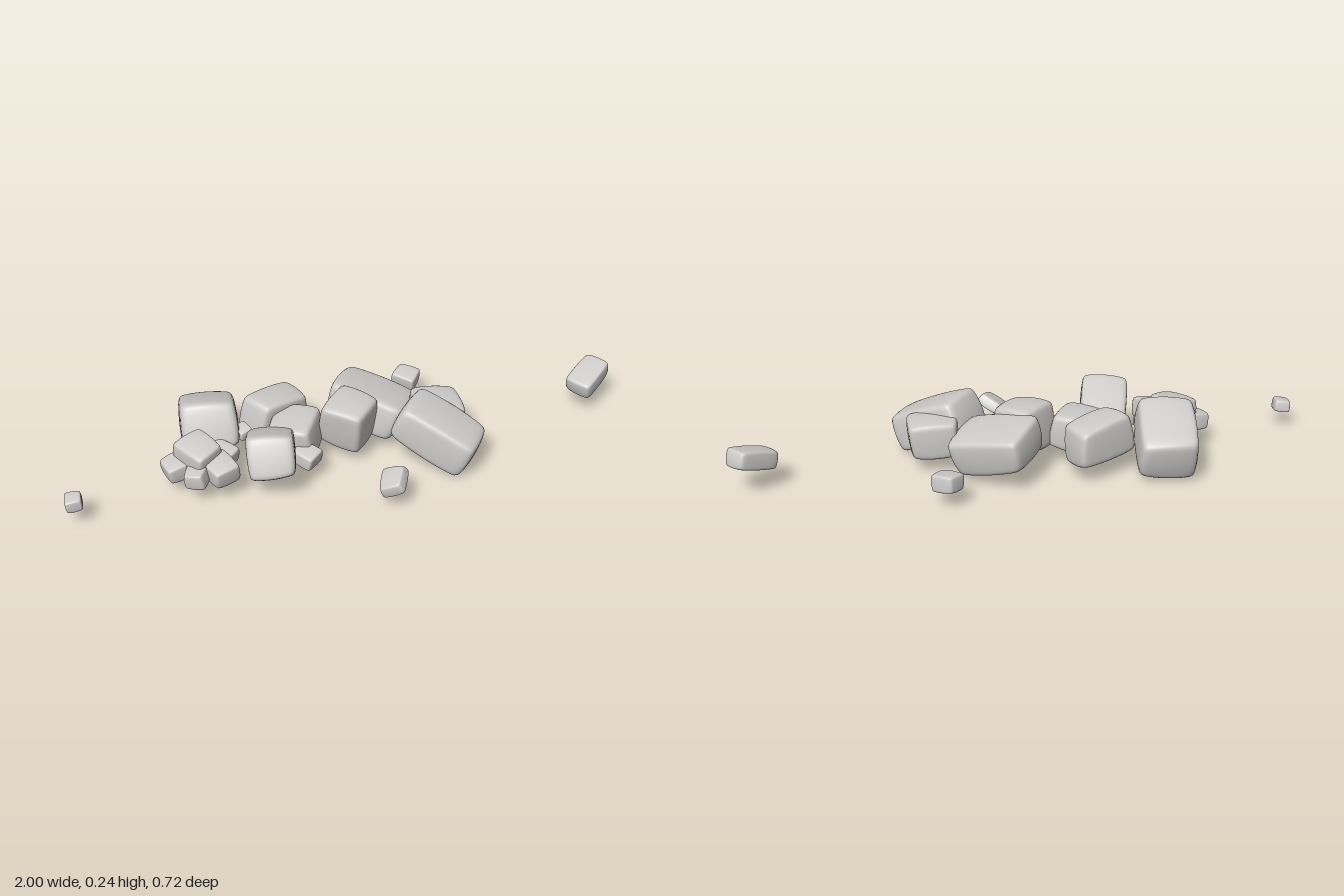
import * as THREE from 'three';
import { mergeVertices } from 'three/addons/utils/BufferGeometryUtils.js';

const stone = new THREE.MeshStandardMaterial({ color: 0xcdccca });
stone.name = 'grey stone';

// Small seeded generator for the uneven corners
function seeded(seed) {
  let s = seed * 7919 + 13;
  return () => (s = (s * 16807) % 2147483647) / 2147483647;
}

// Worn block: a cube rounded by a power rule, bulged and slightly tapered
function rockGeometry(w, h, d, seed) {
  const rand = seeded(seed);
  rand();
  const taper = Array.from({ length: 6 }, () => (rand() - 0.5) * 0.14);
  let geo = new THREE.BoxGeometry(2, 2, 2, 16, 16, 16);
  geo.deleteAttribute('uv');
  geo.deleteAttribute('normal');
  geo = mergeVertices(geo, 1e-4);
  const pos = geo.attributes.position;
  const v = new THREE.Vector3();
  const power = 14;
  for (let i = 0; i < pos.count; i++) {
    v.fromBufferAttribute(pos, i);
    const sum = Math.abs(v.x) ** power + Math.abs(v.y) ** power + Math.abs(v.z) ** power;
    v.divideScalar(sum ** (1 / power));
    const { x, y, z } = v;
    const bx = 1 - 0.05 * (y * y + z * z);
    const by = 1 - 0.08 * (x * x + z * z);
    const bz = 1 - 0.05 * (x * x + y * y);
    pos.setXYZ(i,
      x * bx * (1 + taper[0] * y + taper[1] * z) * w / 2,
      y * by * (1 + taper[2] * x + taper[3] * z) * h / 2,
      z * bz * (1 + taper[4] * x + taper[5] * y) * d / 2);
  }
  geo.computeVertexNormals();
  return geo;
}

export function createModel() {
  const group = new THREE.Group();
  group.name = 'rubble';

  function addRock(name, [x, y, z], [w, h, d], yaw, pitch, roll) {
    const mesh = new THREE.Mesh(rockGeometry(w, h, d, group.children.length + 1), stone);
    mesh.name = name;
    mesh.position.set(x, y, z);
    mesh.rotation.set(pitch, yaw, roll, 'YXZ');
    group.add(mesh);
  }

  // Boulders: centre, size, yaw, pitch, roll
  addRock('backLeftBoulder', [-0.44, 0.12, -0.22], [0.2, 0.17, 0.26], -0.25, -0.35, 0.05);
  addRock('backMiddleBoulder', [-0.215, 0.125, -0.175], [0.22, 0.15, 0.13], 0.36, 0.1, -0.08);
  addRock('frontLeftBoulder', [-0.305, 0.12, 0.045], [0.16, 0.15, 0.24], -0.36, -0.4, 0.08);
  addRock('innerLeftBoulder', [-0.185, 0.105, -0.05], [0.16, 0.14, 0.17], -0.62, 0.1, 0.1);
  addRock('centreBoulder', [0, 0.13, -0.025], [0.16, 0.17, 0.16], 0.72, 0.15, 0.1);
  addRock('backRightBoulder', [0.12, 0.115, -0.115], [0.21, 0.14, 0.27], 0.8, 0.24, -0.15);
  addRock('frontRightBoulder', [0.265, 0.115, 0.14], [0.19, 0.145, 0.29], 0.8, 0.44, 0.02);
  addRock('innerRightBoulder', [0.305, 0.11, 0.025], [0.17, 0.14, 0.155], -0.2, 0.08, -0.06);

  // Thin slabs lying apart
  addRock('farRightSlab', [0.915, 0.11, 0.02], [0.155, 0.07, 0.1], 0.53, 0.1, 0.29);
  addRock('frontSlab', [0.027, 0.08, 0.3], [0.085, 0.045, 0.1], -0.55, 0.3, 0.45);

  // Small stones share one set of proportions: centre, width, yaw
  const pebbles = {
    backPebble: [0.325, 0.08, -0.265, 0.078, 0.75],
    farLeftPebble: [-0.97, 0.077, 0.005, 0.056, -0.2],
    leftStone: [-0.535, 0.13, -0.025, 0.12, 0.4],
    leftEdgeStone: [-0.615, 0.085, -0.04, 0.08, 0.2],
    leftFrontStone: [-0.485, 0.1, 0.05, 0.095, 0.25],
    leftLowStone: [-0.565, 0.09, 0.04, 0.075, -0.6],
    gapStone: [-0.45, 0.09, -0.04, 0.08, 0.6],
    gapPebble: [-0.35, 0.11, -0.12, 0.05, 0.3],
    middlePebble: [-0.185, 0.08, 0.06, 0.074, 0.6],
  };
  for (const [name, [x, y, z, w, yaw]] of Object.entries(pebbles)) {
    addRock(name, [x, y, z], [w, w * 0.8, w * 1.12], yaw, 0.12, 0.14);
  }
  return group;
}
